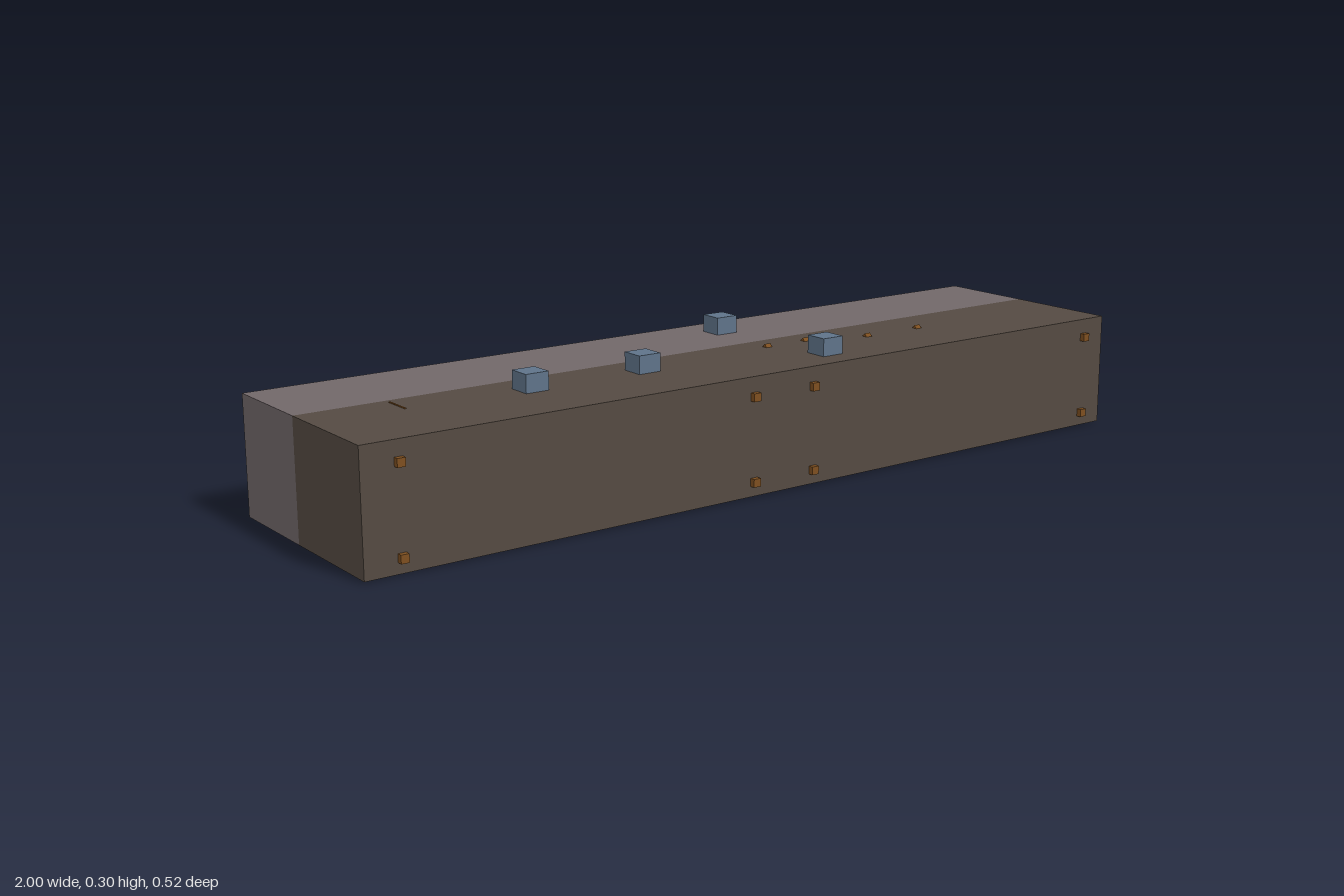
import * as THREE from 'three';

const mats = {
  brown: new THREE.MeshStandardMaterial({ color: 0x544a42 }),
  grey: new THREE.MeshStandardMaterial({ color: 0x716769 }),
  blue: new THREE.MeshStandardMaterial({ color: 0x5f7389 }),
  wood: new THREE.MeshStandardMaterial({ color: 0x7d4f20 }),
};

// Box given by its extents on each axis
function block(parent, name, mat, [x0, x1], [y0, y1], [z0, z1]) {
  const mesh = new THREE.Mesh(new THREE.BoxGeometry(x1 - x0, y1 - y0, z1 - z0), mats[mat]);
  mesh.name = name;
  mesh.position.set((x0 + x1) / 2, (y0 + y1) / 2, (z0 + z1) / 2);
  parent.add(mesh);
  return mesh;
}

function section(parent, name) {
  const g = new THREE.Group();
  g.name = name;
  parent.add(g);
  return g;
}

export function createModel() {
  const model = new THREE.Group();
  model.name = 'building';

  const L = -1, R = 0.985, F = 0.248, B = -0.26, M = -0.027;
  const T = 0.012, Y0 = 0.003, Y1 = 0.264;
  const H = [Y0, Y1 - T];

  // Outer shell, open underneath, in a brown front half and a grey back half
  const shell = section(model, 'shell');
  block(shell, 'frontWall', 'brown', [L, R], H, [F - T, F]);
  block(shell, 'backWall', 'grey', [L, R], H, [B, B + T]);
  for (const [mat, z0, z1, name] of [['brown', M, F, 'front'], ['grey', B, M, 'back']]) {
    block(shell, name + 'Roof', mat, [L, R], [Y1 - T, Y1], [z0, z1]);
    const inner = mat === 'brown' ? [z0, z1 - T] : [z0 + T, z1];
    block(shell, name + 'RightEndWall', mat, [L, L + T], H, inner);
    block(shell, name + 'LeftEndWall', mat, [R - T, R], H, inner);
  }

  // Partitions between the back rooms and the corridor
  const rooms = section(model, 'partitions');
  block(rooms, 'middleWall', 'grey', [L + T, 0.63], H, [M - T, M]);
  for (const x of [-0.545, -0.01, 0.29]) {
    block(rooms, 'backRoomWall', 'grey', [x - T / 2, x + T / 2], H, [B + T, M - T]);
  }
  block(rooms, 'frontRoomWall', 'brown', [-0.016, -0.004], H, [M, F - T]);

  // Corridor wall pieces with doorways between them
  for (const span of [[-0.98, -0.63], [-0.21, -0.016], [0.07, 0.22], [0.36, 0.575], [0.7, 0.97]]) {
    block(rooms, 'corridorWall', 'brown', span, H, [0.115, 0.125]);
  }

  // Stepped diagonal wall in a back room
  const steps = 10;
  const diagonal = section(model, 'steppedWall');
  for (let i = 0; i < steps; i++) {
    const x = 0.4 + (0.21 * i) / steps, z = -0.24 + (0.195 * i) / steps;
    block(diagonal, 'wallStep', 'grey', [x, x + 0.021], [0, Y1 - 0.004], [z, z + 0.022]);
  }

  // Roof boxes
  for (const [x, z] of [[-0.52, 0.065], [-0.24, 0.062], [0.135, -0.16], [0.18, 0.163]]) {
    block(model, 'roofBox', 'blue', [x - 0.027, x + 0.027], [Y1 - 0.01, 0.304], [z - 0.027, z + 0.027]);
  }

  // Wooden pegs passing through the front and left end walls
  const pegs = section(model, 'pegs');
  for (const y of [0.035, 0.221]) {
    for (const x of [-0.92, -0.085, 0.075, 0.92]) {
      block(pegs, 'frontPeg', 'wood', [x - 0.009, x + 0.009], [y - 0.009, y + 0.009], [0.2, 0.26]);
    }
    for (const [z, w] of [[0.21, 0.018], [0.085, 0.008]]) {
      block(pegs, 'endPeg', 'wood', [0.95, z > 0.1 ? 1 : 0.992], [y - 0.009, y + 0.009], [z - w / 2, z + w / 2]);
    }
  }
  for (const [x, z] of [[-0.97, -0.2], [-0.19, -0.2], [0.93, -0.2]]) {
    block(pegs, 'innerPeg', 'wood', [x - 0.015, x + 0.015], [0.02, 0.06], [z - 0.03, z + 0.03]);
  }

  // Tilted pegs whose corners break through the roof
  for (const [x, z] of [[0.12, 0.035], [0.23, 0.035], [0.375, 0.083], [0.53, 0.083]]) {
    const peg = block(pegs, 'roofPeg', 'wood', [x - 0.008, x + 0.008], [0.252, 0.268], [z - 0.008, z + 0.008]);
    peg.rotation.x = Math.PI / 4;
  }
  block(model, 'doorBoard', 'wood', [-0.802, -0.798], [Y0, 0.2655], [-0.01, 0.055]);

  return model;
}
